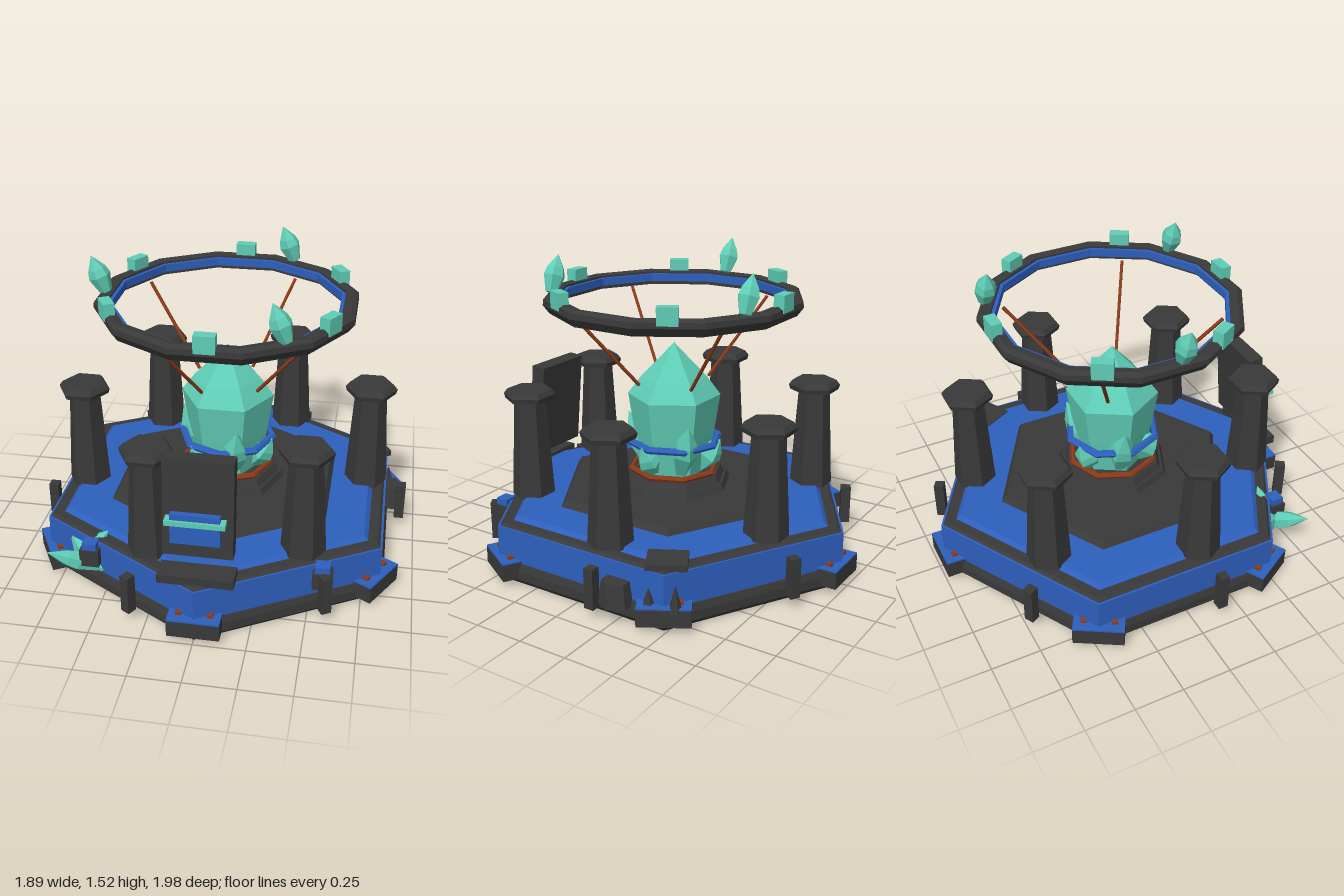
import * as THREE from 'three';

const mat = (name, color) => { const m = new THREE.MeshStandardMaterial({ color }); m.name = name; return m; };

export function createModel() {
  const root = new THREE.Group();
  const stone = mat('dark stone', 0x393939);
  const blue = mat('blue panel', 0x2d5fbd);
  const teal = mat('teal crystal', 0x5fcdb6);
  const rust = mat('rust metal', 0x8a3a1a);

  // faceted mesh with hard edges
  function add(name, geo, material, x = 0, y = 0, z = 0, parent = root) {
    const g = geo.index ? geo.toNonIndexed() : geo;
    g.computeVertexNormals();
    const m = new THREE.Mesh(g, material);
    m.name = name;
    m.position.set(x, y, z);
    parent.add(m);
    return m;
  }
  const box = (name, w, h, d, material, x, y, z, parent) =>
    add(name, new THREE.BoxGeometry(w, h, d), material, x, y, z, parent);
  // prism between two heights
  const tier = (name, rTop, rBottom, y0, y1, sides, material, parent) =>
    add(name, new THREE.CylinderGeometry(rTop, rBottom, y1 - y0, sides), material, 0, (y0 + y1) / 2, 0, parent);
  const lathe = (pts, sides) => new THREE.LatheGeometry(pts.map(p => new THREE.Vector2(...p)), sides);
  const UP = new THREE.Vector3(0, 1, 0);
  function span(m, a, b) {
    const dir = new THREE.Vector3().subVectors(b, a).normalize();
    m.quaternion.setFromUnitVectors(UP, dir);
    return m;
  }
  // pointed crystal from a to b
  function crystal(name, a, b, r, sides = 6) {
    const A = new THREE.Vector3(...a), B = new THREE.Vector3(...b), h = A.distanceTo(B);
    const geo = lathe([[0, 0], [r * 0.55, 0.03 * h], [r, 0.45 * h], [r * 0.8, 0.65 * h], [0, h]], sides);
    return span(add(name, geo, teal, ...a), A, B);
  }
  // point on a circle, angle from +z towards +x
  const polar = (r, deg, y = 0) => {
    const t = THREE.MathUtils.degToRad(deg);
    return [r * Math.sin(t), y, r * Math.cos(t)];
  };

  // hexagonal base and deck
  tier('baseFoot', 0.987, 0.965, 0, 0.025, 6, stone);
  tier('basePlinth', 0.987, 0.987, 0.025, 0.07, 6, stone);
  tier('baseLedge', 0.975, 0.987, 0.07, 0.105, 6, stone);
  tier('baseBody', 0.967, 0.967, 0.105, 0.272, 6, blue);
  tier('deckRim', 0.94, 0.955, 0.272, 0.285, 6, stone);
  tier('deck', 0.86, 0.885, 0.285, 0.305, 6, blue);
  tier('platform', 0.61, 0.635, 0.305, 0.338, 6, stone);

  // corner brackets with blue caps and bolts
  for (let i = 0; i < 6; i++) {
    const g = new THREE.Group();
    g.name = 'cornerBracket';
    g.rotation.y = i * Math.PI / 3;
    root.add(g);
    box('bracket', 0.25, 0.085, 0.13, stone, 0, 0.0725, 0.927, g);
    box('bracketCap', 0.25, 0.008, 0.13, blue, 0, 0.119, 0.927, g);
    for (const s of [-1, 1]) box('bolt', 0.028, 0.015, 0.028, rust, s * 0.075, 0.128, 0.935, g);
  }

  // pillars and outer posts, six around
  for (let i = 0; i < 6; i++) {
    const a = 99 + i * 60;
    const p = new THREE.Group();
    p.name = 'pillar';
    p.position.set(...polar(0.733, a));
    p.rotation.y = Math.PI / 6;
    root.add(p);
    tier('pillarShaft', 0.08, 0.11, 0.295, 0.81, 6, stone, p);
    tier('pillarCap', 0.132, 0.125, 0.81, 0.835, 6, stone, p);
    tier('pillarCapTop', 0.112, 0.132, 0.835, 0.86, 6, stone, p);
    const post = box('post', 0.05, 0.2, 0.05, stone, ...polar(0.93, a, 0.155));
    post.rotation.y = THREE.MathUtils.degToRad(i * 60);
  }

  // pedestal under the core
  tier('pedestal', 0.285, 0.3, 0.338, 0.37, 8, stone);
  tier('pedestalTop', 0.25, 0.27, 0.37, 0.405, 8, stone);
  const collar = add('pedestalCollar', new THREE.TorusGeometry(0.225, 0.016, 6, 8), rust, 0, 0.42, 0);
  collar.rotation.x = Math.PI / 2;

  // great crystal with band and small shards
  const core = add('coreCrystal', lathe([[0, 0.4], [0.17, 0.4], [0.205, 0.6], [0.237, 0.81], [0.17, 0.9], [0, 1.08]], 6), teal);
  core.rotation.y = Math.PI / 6;
  add('coreBand', lathe([[0.22, 0.555], [0.245, 0.555], [0.255, 0.57], [0.245, 0.585], [0.22, 0.585], [0.22, 0.555]], 8), blue);
  for (let i = 0; i < 6; i++) {
    crystal('coreShard', polar(0.13, 20 + i * 60, 0.42), polar(0.245, 20 + i * 60, i % 2 ? 0.58 : 0.7), 0.07, 5);
  }

  // floating ring: dark outside, blue lining
  const k = 1 / Math.cos(Math.PI / 12);
  const ring = new THREE.Group();
  ring.name = 'floatingRing';
  ring.rotation.y = Math.PI / 12;
  root.add(ring);
  const loop = pts => lathe(pts.map(([r, y]) => [r * k, y]), 12);
  add('ringBody', loop([[0.565, 1.265], [0.6, 1.258], [0.63, 1.3], [0.628, 1.328], [0.605, 1.342], [0.565, 1.335], [0.565, 1.265]]), stone, 0, 0, 0, ring);
  add('ringLining', loop([[0.547, 1.285], [0.566, 1.285], [0.566, 1.325], [0.547, 1.325], [0.547, 1.285]]), blue, 0, 0, 0, ring);
  for (let i = 0; i < 6; i++) {
    const b = box('ringBlock', 0.1, 0.085, 0.055, teal, ...polar(0.607, i * 60, 1.355));
    b.rotation.y = i * Math.PI / 3;
  }
  for (const [x, z] of [[-0.625, 0.05], [0.24, -0.55], [0.32, 0.5]]) {
    crystal('ringCrystal', [x + 0.03, 1.335, z], [x - 0.04, 1.52, z], 0.056);
  }

  // slanted struts
  for (let i = 0; i < 4; i++) {
    const A = new THREE.Vector3(...polar(0.195, 58 + i * 90, 0.88));
    const B = new THREE.Vector3(...polar(0.535, 58 + i * 90, 1.27));
    const mid = A.clone().add(B).multiplyScalar(0.5);
    span(add('strut', new THREE.CylinderGeometry(0.009, 0.009, A.distanceTo(B), 6), rust, mid.x, mid.y, mid.z), A, B);
  }

  // leaning slab, step and floating panel at the front
  const slab = box('slab', 0.33, 0.49, 0.078, stone, 0, 0.627, 0.783);
  slab.rotation.x = -0.09;
  box('slabStep', 0.36, 0.045, 0.115, stone, 0, 0.3, 0.865);
  box('panel', 0.23, 0.155, 0.028, blue, 0, 0.568, 0.885);
  box('panelBar', 0.28, 0.025, 0.052, teal, 0, 0.603, 0.885);

  // small lanterns beside the front corners
  for (const s of [-1, 1]) {
    box('lantern', 0.095, 0.09, 0.08, stone, s * 0.567, 0.205, 0.67);
    box('lanternTop', 0.07, 0.035, 0.065, blue, s * 0.567, 0.267, 0.67);
  }

  // crystal cluster growing on the side
  crystal('sideCrystal', [-0.53, 0.1, 0.62], [-0.765, 0.25, 0.75], 0.05);
  crystal('sideCrystal', [-0.49, 0.1, 0.64], [-0.72, 0.24, 0.53], 0.075);
  crystal('sideCrystal', [-0.58, 0.2, 0.62], [-0.49, 0.315, 0.61], 0.035);

  // rubble and spikes on the back corner
  const chunk = tier('rubbleChunk', 0.07, 0.09, 0.08, 0.195, 6, stone);
  chunk.position.x = 0.855;
  chunk.position.z = -0.24;
  chunk.rotation.y = Math.PI / 6;
  const plate = box('rubblePlate', 0.16, 0.03, 0.19, stone, 0.74, 0.295, -0.44);
  plate.rotation.y = 0.5;
  for (const [z, h] of [[-0.41, 0.1], [-0.53, 0.13]]) {
    add('spike', new THREE.ConeGeometry(0.035, h, 5), stone, z < -0.5 ? 0.815 : 0.85, 0.1 + h / 2, z);
  }
  return root;
}
